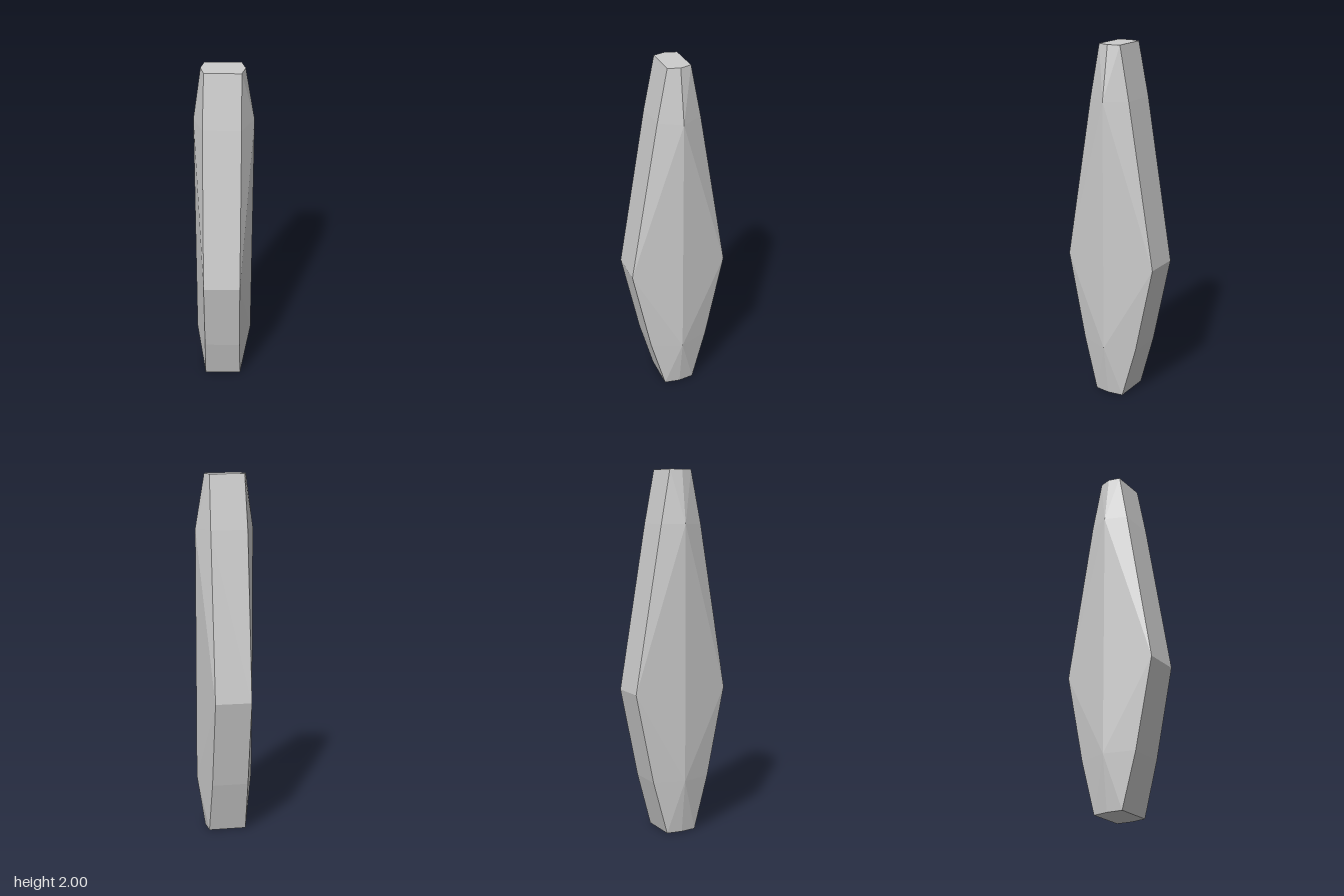
import * as THREE from 'three';
import { ConvexGeometry } from 'three/addons/geometries/ConvexGeometry.js';

// Six-sided cross-sections from bottom to top:
// height, left tip x, right tip x, left corner x, right corner x, half depth
const SECTIONS = [
  { y: 0.0, tips: [-0.12, 0.11], corners: [-0.11, 0.098], depth: 0.087 },
  { y: 0.3, tips: [-0.158, 0.157], corners: [-0.108, 0.092], depth: 0.17 },
  { y: 0.8, tips: [-0.158, 0.157], corners: [-0.108, 0.09], depth: 0.274 },
  { y: 1.71, tips: [-0.158, 0.157], corners: [-0.108, 0.09], depth: 0.12 },
  { y: 2.0, tips: [-0.118, 0.108], corners: [-0.1, 0.088], depth: 0.064 },
];

export function createModel() {
  const group = new THREE.Group();
  group.name = 'crystalShard';

  const points = [];
  for (const { y, tips, corners, depth } of SECTIONS) {
    // sharp side ridges
    for (const x of tips) points.push(new THREE.Vector3(x, y, 0));
    // front and back corners, mirrored in z
    for (const x of corners) {
      for (const side of [1, -1]) points.push(new THREE.Vector3(x, y, side * depth));
    }
  }

  // faceted convex body with flat ends
  const body = new THREE.Mesh(
    new ConvexGeometry(points),
    new THREE.MeshStandardMaterial({ color: 0xcccccc, flatShading: true })
  );
  body.name = 'shardBody';
  group.add(body);
  return group;
}
